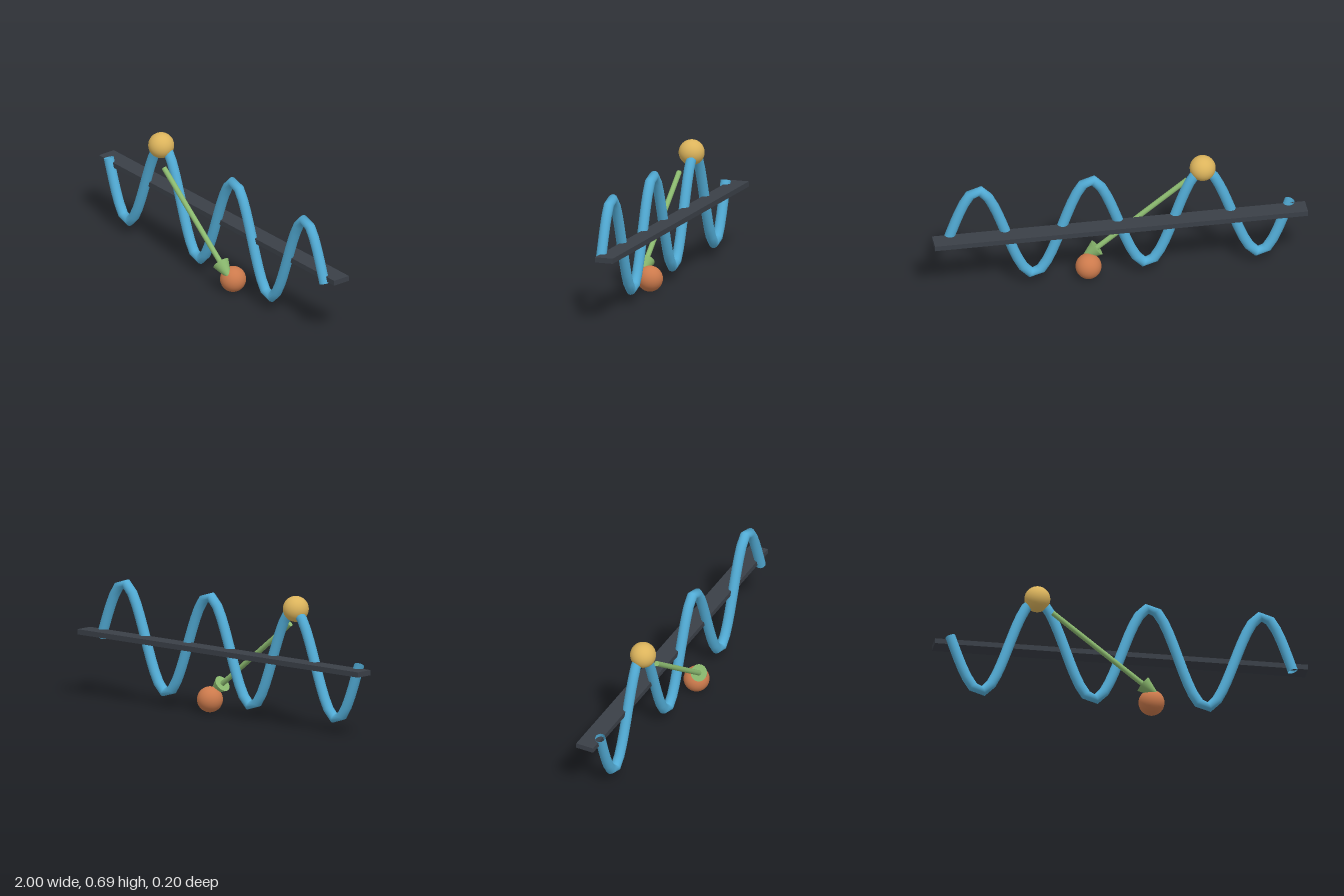
import * as THREE from 'three';

const material = (name, color, side = THREE.FrontSide) => {
  const m = new THREE.MeshStandardMaterial({ color, side });
  m.name = name;
  return m;
};

// Sine wave in the xy plane, running from -halfWidth to +halfWidth
class WaveCurve extends THREE.Curve {
  constructor(halfWidth, period, amplitude, midY) {
    super();
    Object.assign(this, { halfWidth, period, amplitude, midY });
  }
  getPoint(t, target = new THREE.Vector3()) {
    const x = (2 * t - 1) * this.halfWidth;
    const y = this.midY + this.amplitude * Math.sin((2 * Math.PI * x) / this.period);
    return target.set(x, y, 0);
  }
}

export function createModel() {
  const model = new THREE.Group();
  model.name = 'waveDiagram';

  const barDark = material('charcoal', 0x3a3f47);
  const waveBlue = material('blue', 0x52acd6, THREE.DoubleSide);
  const crestGold = material('gold', 0xdcb45c);
  const troughCopper = material('copper', 0xcc7a4c);
  const arrowGreen = material('green', 0x8ab86e);

  const add = (name, geometry, mat, parent = model) => {
    const mesh = new THREE.Mesh(geometry, mat);
    mesh.name = name;
    parent.add(mesh);
    return mesh;
  };

  // Straight axis bar behind the wave
  add('axisBar', new THREE.BoxGeometry(2, 0.028, 0.1), barDark).position.set(0, 0.349, -0.05);

  // Open-ended wave tube
  const wave = new WaveCurve(0.918, 0.605, 0.277, 0.349);
  add('waveTube', new THREE.TubeGeometry(wave, 64, 0.0275, 16, false), waveBlue);

  // Marker balls on a crest and a trough
  const ball = new THREE.SphereGeometry(0.069, 32, 20);
  add('crestBall', ball, crestGold).position.set(-0.454, 0.626, 0.014);
  add('troughBall', ball, troughCopper).position.set(0.158, 0.07, 0.014);

  // Arrow pointing from the crest to the trough, built along +y then turned
  const start = new THREE.Vector3(-0.377, 0.532, 0.055);
  const neck = new THREE.Vector3(0.106, 0.155, 0.055);
  const shaftLength = start.distanceTo(neck);
  const headLength = 0.12;
  const arrow = new THREE.Group();
  arrow.name = 'arrow';
  arrow.position.copy(start);
  arrow.quaternion.setFromUnitVectors(new THREE.Vector3(0, 1, 0), neck.clone().sub(start).normalize());
  add('arrowShaft', new THREE.CylinderGeometry(0.014, 0.014, shaftLength, 20), arrowGreen, arrow)
    .position.y = shaftLength / 2;
  add('arrowHead', new THREE.ConeGeometry(0.046, headLength, 28), arrowGreen, arrow)
    .position.y = shaftLength + headLength / 2;
  model.add(arrow);

  return model;
}
